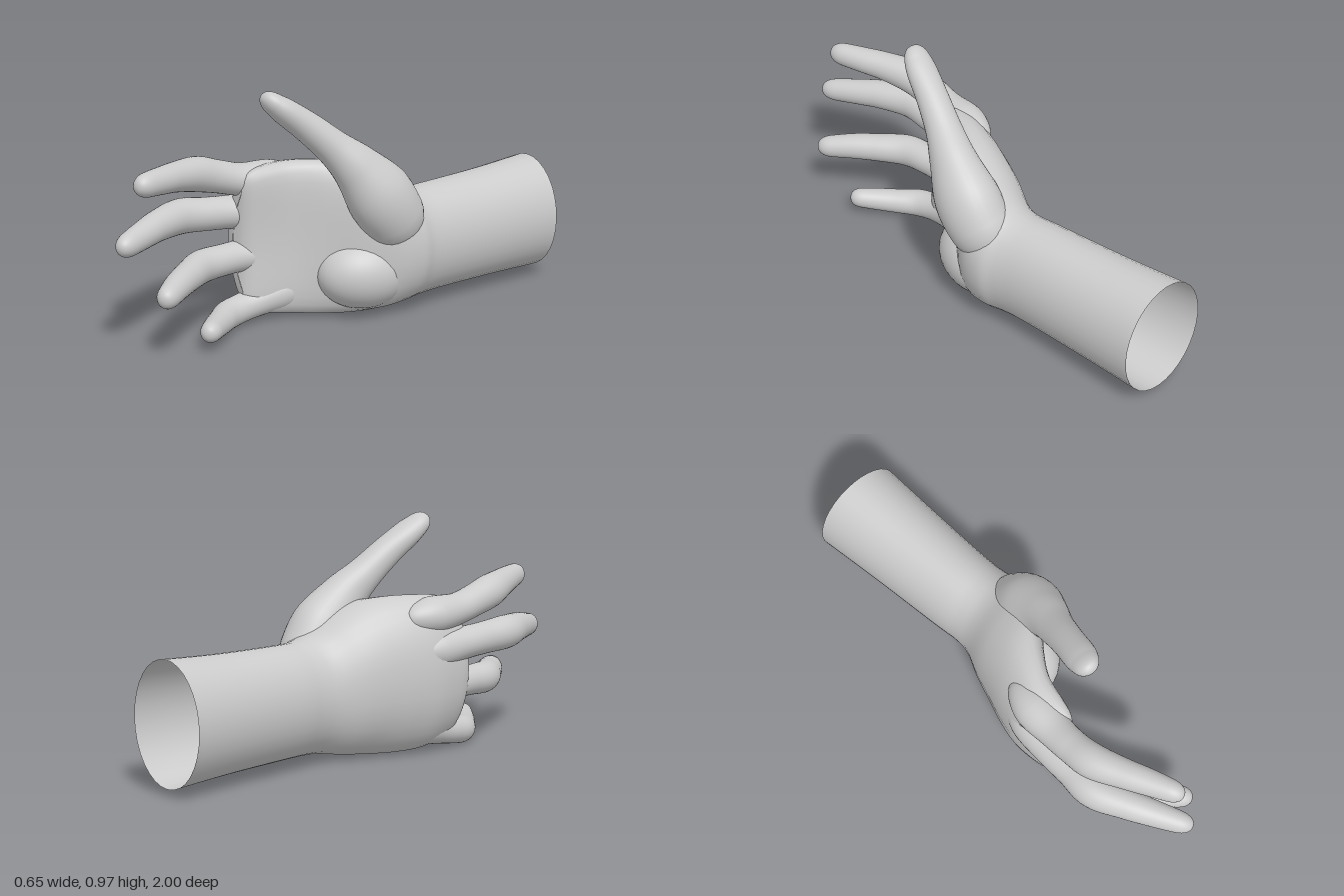
import * as THREE from 'three';

const SEG = 32;

// Smooth interpolation through rows of numbers, t in 0..1
function spline(rows, t) {
  const n = rows.length - 1;
  const i = Math.min(Math.floor(t * n), n - 1), u = t * n - i;
  const at = k => rows[Math.max(0, Math.min(n, k))];
  const [p, q, r, s] = [at(i - 1), at(i), at(i + 1), at(i + 2)];
  return q.map((v, k) => v + 0.5 * u * (r[k] - p[k]
    + u * (2 * p[k] - 5 * v + 4 * r[k] - s[k] + u * (3 * (v - r[k]) + s[k] - p[k]))));
}

// Skin over closed rings of points
function skin(rings) {
  const pos = [], index = [];
  rings.forEach((ring, i) => ring.forEach((p, j) => {
    pos.push(...p);
    if (i === rings.length - 1) return;
    const k = (j + 1) % SEG, a = i * SEG + j, b = i * SEG + k;
    index.push(a, b, b + SEG, a, b + SEG, a + SEG);
  }));
  const g = new THREE.BufferGeometry();
  g.setAttribute('position', new THREE.Float32BufferAttribute(pos, 3));
  g.setIndex(index);
  g.computeVertexNormals();
  return g;
}

// Digit along rows [x, y, z, a, b]: half-size a along ref, b across it; first and last spans are domes
function digit(rows, ref) {
  const n = rows.length - 1, steps = 10, rings = [];
  for (let i = 0; i <= n * steps; i++) {
    const span = Math.min(Math.floor(i / steps), n - 1), u = i / steps - span;
    let w = u, f = 1;
    if (span === 0) {
      w = 1 - Math.cos(u * Math.PI / 2);
      f = Math.sin(u * Math.PI / 2);
    } else if (span === n - 1) {
      w = Math.sin(u * Math.PI / 2);
      f = Math.cos(u * Math.PI / 2);
    }
    const t = (span + w) / n;
    const [x, y, z, a, b] = spline(rows, t);
    const p0 = spline(rows, Math.max(0, t - 0.01)), p1 = spline(rows, Math.min(1, t + 0.01));
    const T = new THREE.Vector3(p1[0] - p0[0], p1[1] - p0[1], p1[2] - p0[2]).normalize();
    const A = ref.clone().addScaledVector(T, -ref.dot(T)).normalize();
    const B = T.clone().cross(A);
    rings.push(Array.from({ length: SEG }, (_, j) => {
      const th = j / SEG * Math.PI * 2;
      return new THREE.Vector3(x, y, z)
        .addScaledVector(A, Math.cos(th) * a * f)
        .addScaledVector(B, Math.sin(th) * b * f).toArray();
    }));
  }
  return skin(rings);
}

// Forearm and palm sections: z, centre x, centre y, half x, half y, bow of the back, squareness power
const ARM = [
  [-0.975, 0.12, 0.275, 0.2, 0.245, 0, 1],
  [-0.7, 0.115, 0.272, 0.185, 0.233, 0, 1],
  [-0.4, 0.108, 0.27, 0.172, 0.228, 0, 1],
  [-0.28, 0.11, 0.27, 0.17, 0.23, 0, 1],
  [-0.2, 0.108, 0.28, 0.185, 0.245, 0, 0.97],
  [-0.1, 0.07, 0.305, 0.2, 0.285, 0.01, 0.92],
  [0, 0.01, 0.325, 0.178, 0.313, 0.03, 0.88],
  [0.1, -0.065, 0.333, 0.142, 0.322, 0.045, 0.85],
  [0.2, -0.125, 0.338, 0.112, 0.318, 0.05, 0.82],
  [0.3, -0.15, 0.342, 0.092, 0.305, 0.055, 0.82],
  [0.36, -0.16, 0.345, 0.075, 0.285, 0.055, 0.85],
  [0.39, -0.165, 0.345, 0.045, 0.255, 0.055, 0.9],
  [0.4, -0.165, 0.345, 0.001, 0.2, 0.055, 1],
];

function armGeometry() {
  const rings = [], steps = 72;
  const pw = (v, e) => Math.sign(v) * Math.pow(Math.abs(v), e);
  for (let i = 0; i <= steps; i++) {
    const [z, cx, cy, rx, ry, bow, e] = spline(ARM, i / steps);
    const slant = 0.125 * Math.max(0, (-z - 0.6) / 0.375);
    rings.push(Array.from({ length: SEG }, (_, j) => {
      const th = j / SEG * Math.PI * 2, v = pw(Math.sin(th), e);
      const x = cx + rx * pw(Math.cos(th), e) + bow * (v * v - 0.4);
      return [x, cy + ry * v, z + slant * (x - 0.12)];
    }));
  }
  return skin(rings);
}

const FINGERS = {
  indexFinger: [
    [-0.13, 0.56, 0.1, 0.07, 0.07], [-0.165, 0.573, 0.24, 0.078, 0.088],
    [-0.19, 0.588, 0.36, 0.066, 0.073], [-0.205, 0.615, 0.46, 0.066, 0.068],
    [-0.207, 0.642, 0.56, 0.07, 0.07], [-0.175, 0.66, 0.68, 0.06, 0.06],
    [-0.145, 0.668, 0.77, 0.054, 0.054], [-0.115, 0.674, 0.865, 0.048, 0.045],
    [-0.1, 0.675, 0.92, 0.04, 0.036]],
  middleFinger: [
    [-0.14, 0.42, 0.1, 0.07, 0.07], [-0.185, 0.435, 0.24, 0.08, 0.085],
    [-0.22, 0.45, 0.37, 0.068, 0.074], [-0.24, 0.46, 0.49, 0.067, 0.068],
    [-0.255, 0.47, 0.61, 0.07, 0.07], [-0.215, 0.47, 0.74, 0.062, 0.061],
    [-0.18, 0.463, 0.83, 0.056, 0.055], [-0.135, 0.452, 0.94, 0.048, 0.045],
    [-0.11, 0.448, 0.997, 0.04, 0.036]],
  ringFinger: [
    [-0.11, 0.26, 0.1, 0.07, 0.07], [-0.15, 0.27, 0.24, 0.078, 0.082],
    [-0.175, 0.277, 0.36, 0.065, 0.07], [-0.18, 0.277, 0.46, 0.063, 0.065],
    [-0.175, 0.275, 0.57, 0.066, 0.066], [-0.115, 0.273, 0.68, 0.06, 0.059],
    [-0.06, 0.27, 0.77, 0.055, 0.054], [0.0, 0.262, 0.86, 0.047, 0.045],
    [0.03, 0.26, 0.905, 0.04, 0.036]],
  littleFinger: [
    [-0.08, 0.13, 0.1, 0.07, 0.07], [-0.115, 0.11, 0.22, 0.075, 0.075],
    [-0.135, 0.087, 0.32, 0.062, 0.062], [-0.143, 0.072, 0.4, 0.058, 0.058],
    [-0.133, 0.063, 0.475, 0.058, 0.058], [-0.085, 0.064, 0.55, 0.052, 0.052],
    [-0.04, 0.07, 0.61, 0.048, 0.048], [0.015, 0.08, 0.675, 0.042, 0.042],
    [0.045, 0.083, 0.71, 0.036, 0.034]],
};

const THUMB = [
  [0.16, 0.32, -0.22, 0.1, 0.12], [0.175, 0.42, -0.13, 0.122, 0.135],
  [0.17, 0.53, -0.05, 0.122, 0.138], [0.14, 0.645, 0.04, 0.092, 0.1],
  [0.1, 0.73, 0.12, 0.074, 0.073], [0.057, 0.82, 0.215, 0.066, 0.061],
  [0.02, 0.89, 0.3, 0.065, 0.052], [0, 0.928, 0.345, 0.056, 0.042],
  [-0.008, 0.965, 0.38, 0.045, 0.034],
];

export function createModel() {
  const group = new THREE.Group();
  const solid = new THREE.MeshStandardMaterial({ color: 0xcccccc });
  const open = new THREE.MeshStandardMaterial({ color: 0xcccccc, side: THREE.DoubleSide });
  const add = (name, geometry, material = solid) => {
    const mesh = new THREE.Mesh(geometry, material);
    mesh.name = name;
    group.add(mesh);
    return mesh;
  };

  // Open forearm running into the palm
  add('forearmAndPalm', armGeometry(), open);

  // Pad at the heel of the palm
  const heel = add('palmHeel', new THREE.SphereGeometry(1, 32, 24));
  heel.position.set(0.09, 0.185, -0.05);
  heel.scale.set(0.15, 0.15, 0.2);
  heel.rotation.y = -0.35;

  // Curled fingers
  for (const [name, rows] of Object.entries(FINGERS)) add(name, digit(rows, new THREE.Vector3(0, 1, 0)));

  // Thumb with its fleshy base
  add('thumb', digit(THUMB, new THREE.Vector3(1, 0, 0)));
  return group;
}
